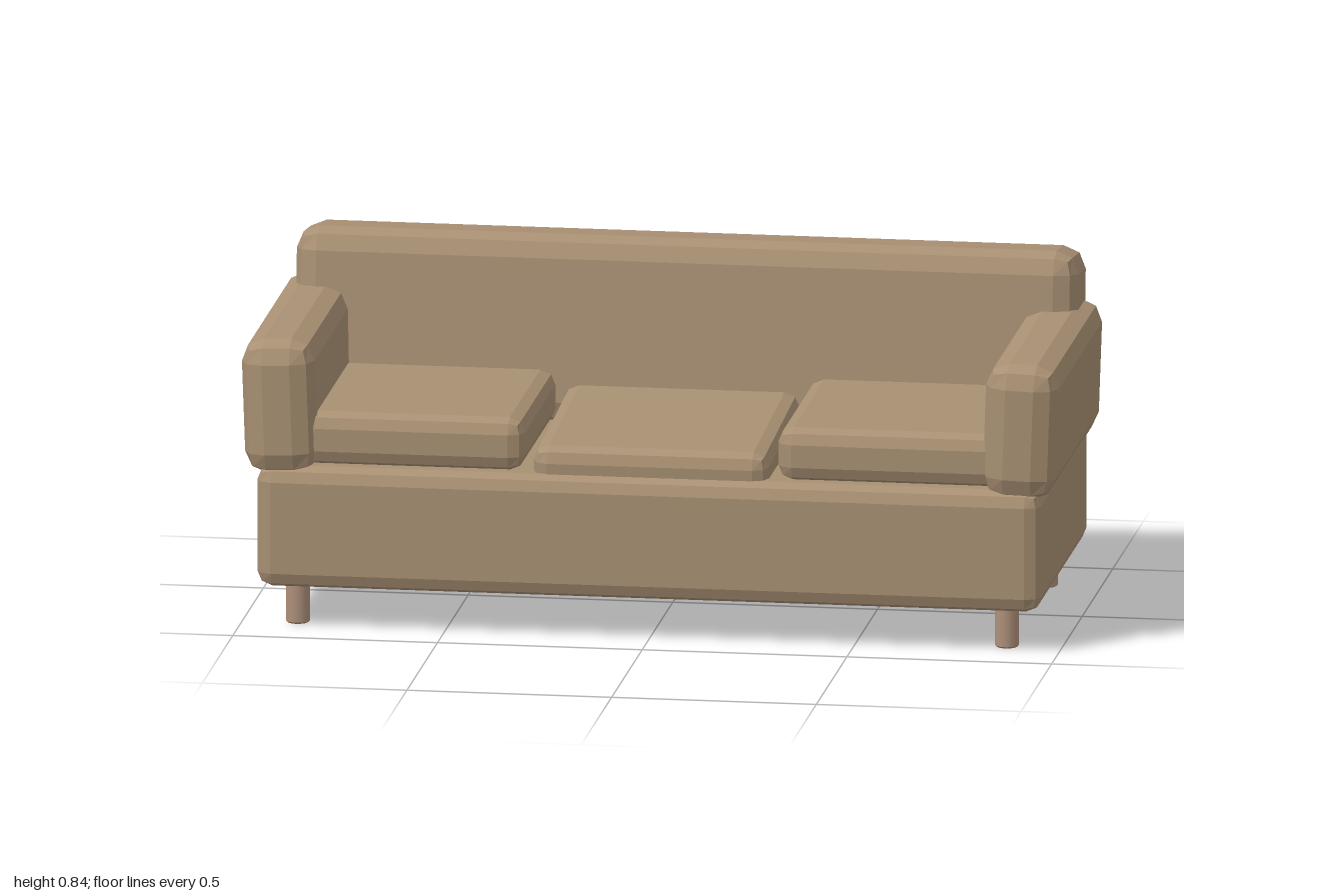
import * as THREE from 'three';
import { RoundedBoxGeometry } from 'three/addons/geometries/RoundedBoxGeometry.js';

export function createModel() {
  const sofa = new THREE.Group();
  sofa.name = 'sofa';
  const fabric = new THREE.MeshStandardMaterial({ color: 0xa89073, flatShading: true });
  const wood = new THREE.MeshStandardMaterial({ color: 0xae907a });

  // Upholstered block with a two-step bevel
  function block(name, size, bevel, position, rotX = 0, rotZ = 0) {
    const mesh = new THREE.Mesh(new RoundedBoxGeometry(...size, 1, bevel), fabric);
    mesh.name = name;
    mesh.position.set(...position);
    mesh.rotation.set(rotX, 0, rotZ);
    sofa.add(mesh);
  }

  block('base', [1.915, 0.3, 0.815], 0.037, [0, 0.25, 0.0125]);

  // Backrest leans back
  block('backrest', [1.91, 0.46, 0.225], 0.055, [0, 0.61, -0.284], -0.112);

  // Armrests lean slightly outwards
  for (const [side, s] of [['left', 1], ['right', -1]]) {
    block(side + 'Armrest', [0.178, 0.333, 0.815], 0.055, [s * 0.905, 0.543, 0.0125], 0, -s * 0.035);
    block(side + 'Cushion', [0.575, 0.13, 0.575], 0.037, [s * 0.597, 0.464, 0.095]);
  }

  // Middle cushion has sunk towards the front
  block('middleCushion', [0.575, 0.13, 0.575], 0.037, [0, 0.415, 0.097], 0.06);

  // Legs with softened rims
  const r = 0.029, h = 0.105, b = 0.004;
  const profile = [[0, 0], [r - b, 0], [r, b], [r, b], [r, h - b], [r, h - b], [r - b, h], [0, h]]
    .map(([x, y]) => new THREE.Vector2(x, y));
  const legGeometry = new THREE.LatheGeometry(profile, 20);
  for (const [side, x] of [['Left', 0.866], ['Right', -0.866]]) {
    for (const [end, z] of [['front', 0.332], ['back', -0.305]]) {
      const leg = new THREE.Mesh(legGeometry, wood);
      leg.name = end + side + 'Leg';
      leg.position.set(x, 0, z);
      sofa.add(leg);
    }
  }
  return sofa;
}
